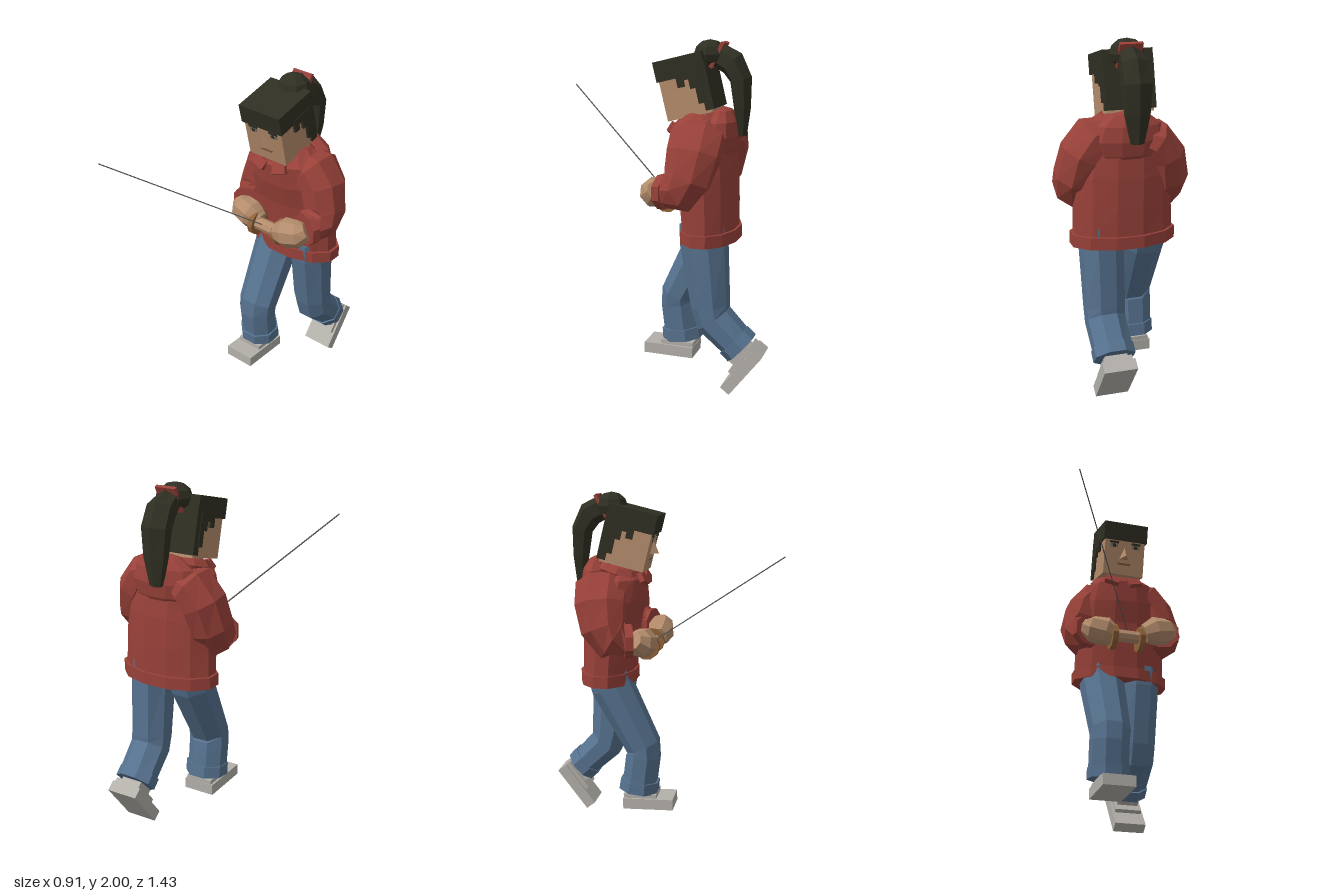
import * as THREE from 'three';

const mat = (name, color) => {
  const m = new THREE.MeshStandardMaterial({ color });
  m.name = name;
  return m;
};

// Faceted closed solid; turns the faces outward if they were wound inward
function solid(verts, faces) {
  let vol = 0;
  const a = new THREE.Vector3();
  for (const [i, j, k] of faces) vol += a.crossVectors(verts[i], verts[j]).dot(verts[k]);
  const pos = [];
  for (const [i, j, k] of faces)
    for (const n of vol < 0 ? [i, k, j] : [i, j, k]) pos.push(...verts[n].toArray());
  const g = new THREE.BufferGeometry();
  g.setAttribute('position', new THREE.Float32BufferAttribute(pos, 3));
  g.computeVertexNormals();
  return g;
}

// Polygonal rings [x, y, z, a, b] along a path; a is measured along ref, b across it
function sweep(path, sides = 8, ref = [1, 0, 0]) {
  const c = path.map(p => new THREE.Vector3(p[0], p[1], p[2]));
  const verts = [], faces = [], k = 1 / Math.cos(Math.PI / sides);
  path.forEach((p, i) => {
    const t = c[Math.min(i + 1, c.length - 1)].clone().sub(c[Math.max(i - 1, 0)]).normalize();
    const u = new THREE.Vector3(...ref);
    u.addScaledVector(t, -u.dot(t)).normalize();
    const v = new THREE.Vector3().crossVectors(t, u);
    for (let s = 0; s < sides; s++) {
      const w = ((s + 0.5) / sides) * Math.PI * 2;
      verts.push(c[i].clone().addScaledVector(u, Math.cos(w) * p[3] * k).addScaledVector(v, Math.sin(w) * p[4] * k));
      const n = (s + 1) % sides, o = i * sides;
      if (i) faces.push([o - sides + s, o - sides + n, o + n], [o - sides + s, o + n, o + s]);
    }
  });
  const last = verts.length - sides;
  for (let s = 1; s < sides - 1; s++) faces.push([0, s + 1, s], [last, last + s, last + s + 1]);
  return solid(verts, faces);
}

// Flat-faced copy of a built-in geometry
function facet(g) {
  const f = g.index ? g.toNonIndexed() : g;
  f.computeVertexNormals();
  return f;
}

export function createModel() {
  const model = new THREE.Group();
  model.name = 'walkingFigure';
  const red = mat('red cloth', 0x984139), denim = mat('denim', 0x56728f), skin = mat('skin', 0xb48c6c),
    hair = mat('dark hair', 0x302f23), grey = mat('shoe grey', 0xb3b0aa), wood = mat('brown wood', 0x8f6238),
    cord = mat('cord', 0x5a5c5a), lip = mat('lip', 0x825843), eye = mat('eye grey', 0x77736a);

  const add = (name, geo, m, pos = [0, 0, 0], parent = model) => {
    const o = new THREE.Mesh(geo, m);
    o.name = name;
    o.position.set(...pos);
    parent.add(o);
    return o;
  };
  const box = (name, size, m, pos, parent) => add(name, new THREE.BoxGeometry(...size), m, pos, parent);

  // Sweater body and hem
  add('sweater', sweep([
    [.085, .9, -.36, .28, .15], [.085, 1.08, -.35, .275, .16], [.08, 1.25, -.34, .275, .165],
    [.075, 1.4, -.315, .265, .175], [.07, 1.51, -.295, .225, .165], [.065, 1.58, -.31, .13, .095],
  ], 12), red);
  add('hem', sweep([[.087, .87, -.36, .295, .165], [.087, .94, -.36, .295, .165]], 12), red);

  // Folded hood, collar and collar flaps
  add('hood', facet(new THREE.SphereGeometry(1, 10, 6)), red, [.07, 1.47, -.425]).scale.set(.21, .16, .095);
  const collar = add('collar', facet(new THREE.TorusGeometry(.12, .038, 5, 10)), red, [.055, 1.535, -.28]);
  collar.rotation.x = Math.PI / 2 + .28;
  collar.scale.x = 1.15;
  for (const s of [-1, 1]) {
    const flap = box('collarFlap', [.09, .06, .03], red, [.05 + s * .07, 1.5, -.135]);
    flap.rotation.set(-.5, 0, s * .35);
  }

  // Arms: sleeve, cuff and hand on each side
  for (const s of [1, -1]) {
    const at = ([x, y, z, a, b]) => [.08 + s * x, y + (s < 0 ? -.02 : 0), z + (s < 0 ? -.05 : 0), a, b];
    const ref = [0, 0, 1];
    add('sleeve', sweep([
      [.06, 1.5, -.32, .1, .07], [.16, 1.47, -.32, .15, .11], [.225, 1.38, -.315, .145, .115],
      [.255, 1.25, -.29, .13, .115], [.255, 1.18, -.24, .12, .11], [.24, 1.17, -.16, .085, .085],
    ].map(at), 8, ref), red);
    add('cuff', sweep([[.25, 1.17, -.175, .095, .092], [.235, 1.17, -.13, .095, .092]].map(at), 8, [0, 1, 0]), red);
    add('hand', sweep([
      [.265, 1.18, -.11, .05, .05], [.23, 1.16, -.085, .075, .075],
      [.15, 1.145, -.07, .075, .085], [.085, 1.12, -.075, .05, .055],
    ].map(at), 8, ref), skin);
    // Reel end ring
    add('reelRing', facet(new THREE.CylinderGeometry(.08, .08, .034, 10)), wood, [.065 + s * .087, 1.095, -.115])
      .rotation.z = Math.PI / 2;
  }
  add('reelHandle', facet(new THREE.CylinderGeometry(.04, .04, .18, 8)), skin, [.065, 1.1, -.1])
    .rotation.z = Math.PI / 2;
  add('string', sweep([[.052, 1.128, -.065, .003, .003], [-.453, 1.685, .704, .003, .003]], 4), cord);

  // Trouser legs with turned-up cuffs
  add('frontLeg', sweep([
    [-.03, .98, -.36, .13, .12], [-.03, .85, -.325, .13, .12], [-.03, .48, -.135, .115, .1],
    [-.035, .42, -.135, .112, .1], [-.035, .22, -.16, .11, .1],
  ]), denim);
  add('frontLegCuff', sweep([[-.033, .27, -.155, .118, .113], [-.033, .2, -.163, .118, .116]]), denim);
  add('backLeg', sweep([
    [.21, .98, -.35, .12, .13], [.21, .86, -.355, .118, .13], [.205, .5, -.395, .112, .105],
    [.205, .42, -.415, .11, .105], [.2, .27, -.57, .108, .09],
  ]), denim);
  add('backLegCuff', sweep([[.2, .3, -.535, .115, .102], [.2, .255, -.583, .115, .102]]), denim);

  // Shoes
  const shoe = (name, pos, tilt) => {
    const g = new THREE.Group();
    g.name = name;
    g.position.set(...pos);
    g.rotation.x = tilt;
    model.add(g);
    box('sole', [.192, .065, .305], grey, [0, -.012, 0], g);
    box('shoeUpper', [.165, .026, .2], grey, [0, .033, -.05], g);
    box('shoeAnkle', [.13, .06, .13], grey, [0, .06, -.06], g);
  };
  shoe('frontShoe', [-.028, .147, -.095], -.02);
  shoe('backShoe', [.2, .145, -.59], .915);

  // Neck and head, tipped forward
  add('neck', sweep([[.045, 1.46, -.27, .07, .07], [.045, 1.63, -.24, .07, .07]], 8), skin);
  const head = new THREE.Group();
  head.name = 'head';
  head.position.set(.045, 1.74, -.215);
  head.rotation.x = .24;
  model.add(head);
  box('face', [.262, .27, .268], skin, [0, -.035, 0], head);
  box('hairCap', [.285, .115, .29], hair, [0, .1125, 0], head);
  box('backHair', [.285, .27, .05], hair, [0, -.02, -.125], head);
  for (const s of [-1, 1]) {
    // Stepped locks over the sides
    for (const [z, bottom] of [[.01, 0], [-.03, .035], [-.06, -.02], [-.09, -.11]])
      box('sideLock', [.016, .08 - bottom, .04], hair, [s * .138, (.08 + bottom) / 2, z], head);
    // Brow, eye and pupil
    box('brow', [.058, .013, .009], hair, [s * .072, .04, .136], head);
    box('eyeWhite', [.05, .02, .006], eye, [s * .072, .018, .135], head);
    box('pupil', [.02, .02, .008], hair, [s * .07, .018, .136], head);
  }
  const V = (x, y, z) => new THREE.Vector3(x, y, z);
  add('nose', solid([V(0, .015, .13), V(-.034, -.07, .13), V(.034, -.07, .13), V(0, -.055, .182)],
    [[0, 1, 3], [0, 3, 2], [1, 2, 3], [0, 2, 1]]), skin, [0, 0, 0], head);
  box('mouth', [.085, .012, .008], lip, [0, -.1, .135], head);

  // Gathered hair, tie and ponytail
  add('hairBun', facet(new THREE.SphereGeometry(1, 8, 6)), hair, [.055, 1.92, -.335]).scale.set(.1, .08, .095);
  const tie = box('hairTie', [.13, .155, .02], red, [.055, 1.915, -.387]);
  tie.rotation.x = -.46;
  add('ponytail', sweep([
    [.055, 1.92, -.37, .055, .06], [.055, 1.87, -.465, .075, .065], [.055, 1.78, -.515, .078, .055],
    [.055, 1.62, -.525, .065, .042], [.055, 1.465, -.525, .035, .025],
  ], 6), hair);
  return model;
}
